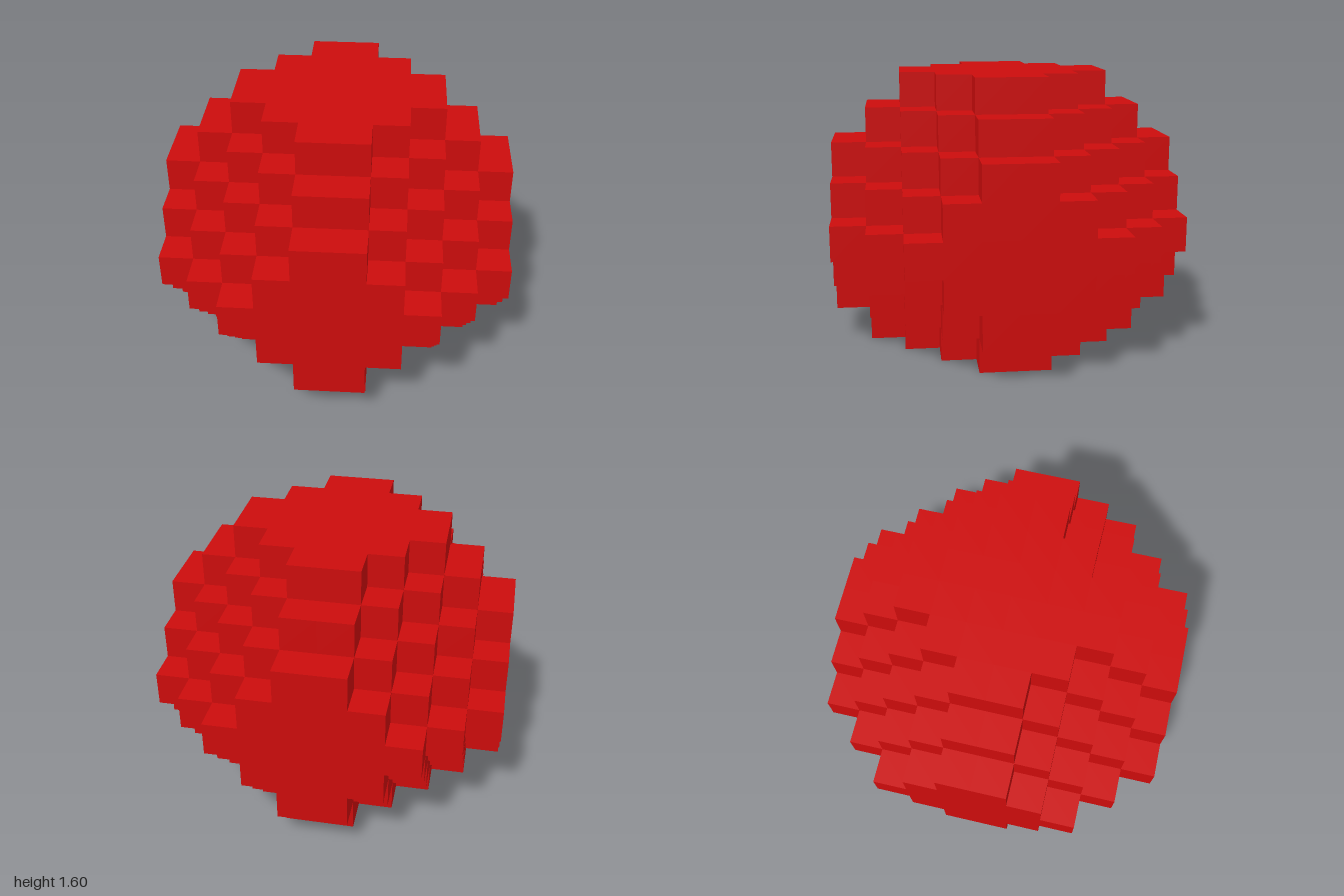
import * as THREE from 'three';
import { mergeGeometries } from 'three/addons/utils/BufferGeometryUtils.js';

const CELL = 0.2;      // edge of one cube
const MID_Y = 0.7;     // height of the widest layer's centre
const REACH = 6;       // step budget shared by the three axes

// Cells sit at half steps in x and z (-4.5 .. 4.5) and whole steps in y (-3 .. 4)
function isFilled(x, y, z) {
  const i = Math.abs(x) - 0.5, j = Math.abs(y), k = Math.abs(z) - 0.5;
  return y >= -3 && y <= 4 && i <= 4 && k <= 4 && i + j + k <= REACH;
}

export function createModel() {
  const red = new THREE.MeshStandardMaterial({ color: 0xcc0c0c });
  red.name = 'red';

  const forward = new THREE.Vector3(0, 0, 1);
  const sides = [[1, 0, 0], [-1, 0, 0], [0, 1, 0], [0, -1, 0], [0, 0, 1], [0, 0, -1]].map((d) => {
    const dir = new THREE.Vector3(...d);
    const turn = new THREE.Quaternion().setFromUnitVectors(forward, dir);
    return { dir, face: new THREE.PlaneGeometry(CELL, CELL).applyQuaternion(turn) };
  });

  const group = new THREE.Group();
  group.name = 'steppedBall';

  // One mesh per layer, made only of the cube faces that are exposed
  for (let y = -3; y <= 4; y++) {
    const faces = [];
    for (let x = -4.5; x <= 4.5; x++) {
      for (let z = -4.5; z <= 4.5; z++) {
        if (!isFilled(x, y, z)) continue;
        for (const { dir, face } of sides) {
          if (isFilled(x + dir.x, y + dir.y, z + dir.z)) continue;
          faces.push(face.clone().translate(
            (x + dir.x / 2) * CELL,
            (y + dir.y / 2) * CELL,
            (z + dir.z / 2) * CELL,
          ));
        }
      }
    }
    const layer = new THREE.Mesh(mergeGeometries(faces), red);
    layer.name = `cubeLayer${y + 4}`;
    layer.position.y = MID_Y;
    group.add(layer);
  }
  return group;
}
